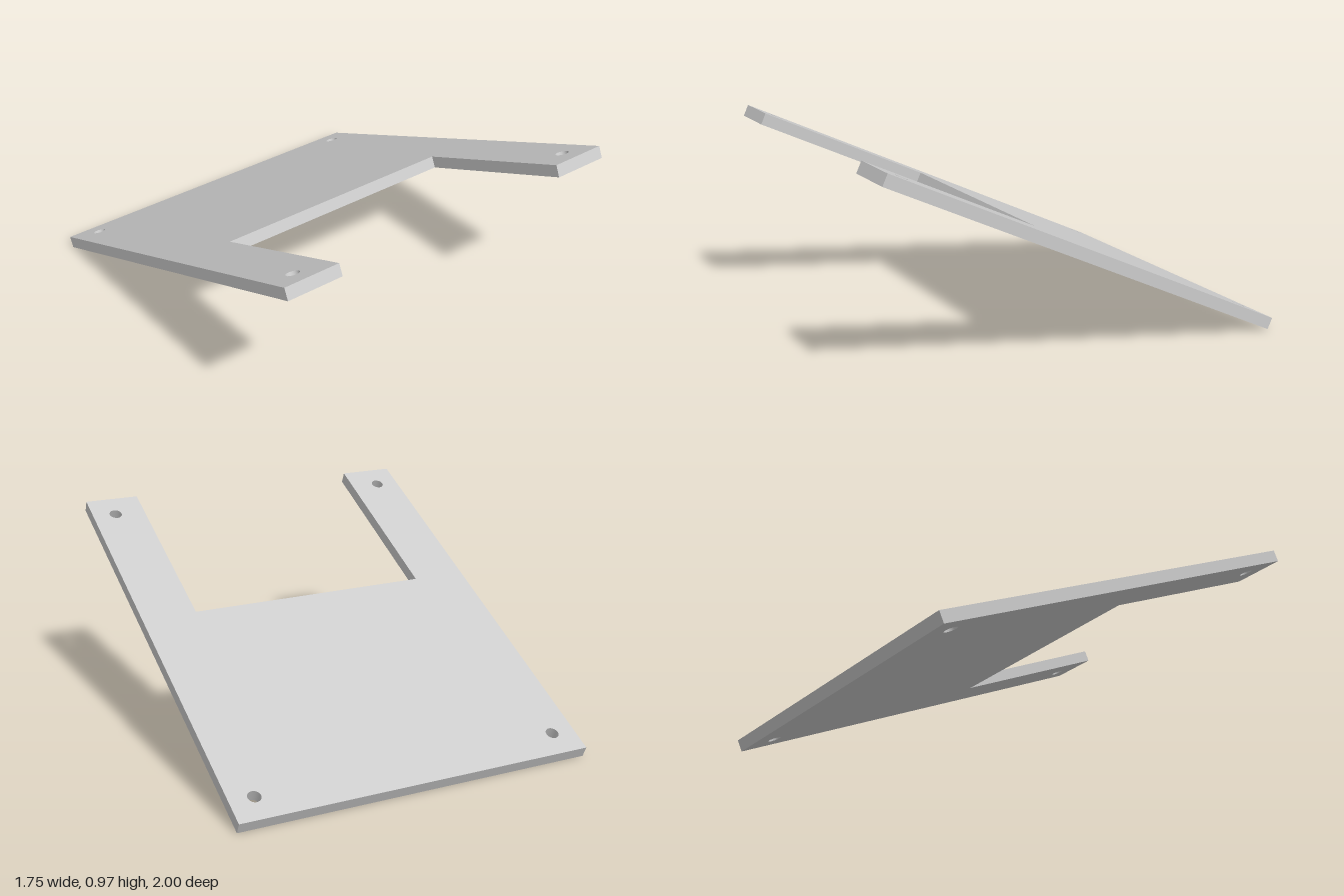
import * as THREE from 'three';

const TILT = THREE.MathUtils.degToRad(25);
const LENGTH = 2.18, HALF_WIDTH = 0.875, THICKNESS = 0.0575;
const NOTCH_HALF = 0.605, NOTCH_START = 1.27;
const HOLE_X = 0.757, HOLE_INSET = 0.123, HOLE_RADIUS = 0.031;

export function createModel() {
  const group = new THREE.Group();

  // U-shaped outline: x across, y from the low back edge to the raised front
  const outline = new THREE.Shape([
    [-HALF_WIDTH, 0], [HALF_WIDTH, 0], [HALF_WIDTH, LENGTH],
    [NOTCH_HALF, LENGTH], [NOTCH_HALF, NOTCH_START],
    [-NOTCH_HALF, NOTCH_START], [-NOTCH_HALF, LENGTH], [-HALF_WIDTH, LENGTH],
  ].map(([x, y]) => new THREE.Vector2(x, y)));

  // Screw holes, one near each corner
  for (const x of [-HOLE_X, HOLE_X]) {
    for (const y of [HOLE_INSET, LENGTH - HOLE_INSET]) {
      const hole = new THREE.Path();
      hole.absarc(x, y, HOLE_RADIUS, 0, Math.PI * 2, true);
      outline.holes.push(hole);
    }
  }

  // Lay the plate flat on its underside, then tilt the front edge up
  const geometry = new THREE.ExtrudeGeometry(outline, {
    depth: THICKNESS, bevelEnabled: false, curveSegments: 24,
  });
  geometry.translate(0, 0, -THICKNESS);
  geometry.rotateX(Math.PI / 2 - TILT);
  geometry.translate(0, 0, THICKNESS * Math.sin(TILT) - 1);

  const plate = new THREE.Mesh(geometry, new THREE.MeshStandardMaterial({ color: 0xcccccc }));
  plate.name = 'notchedPlate';
  group.add(plate);
  return group;
}
